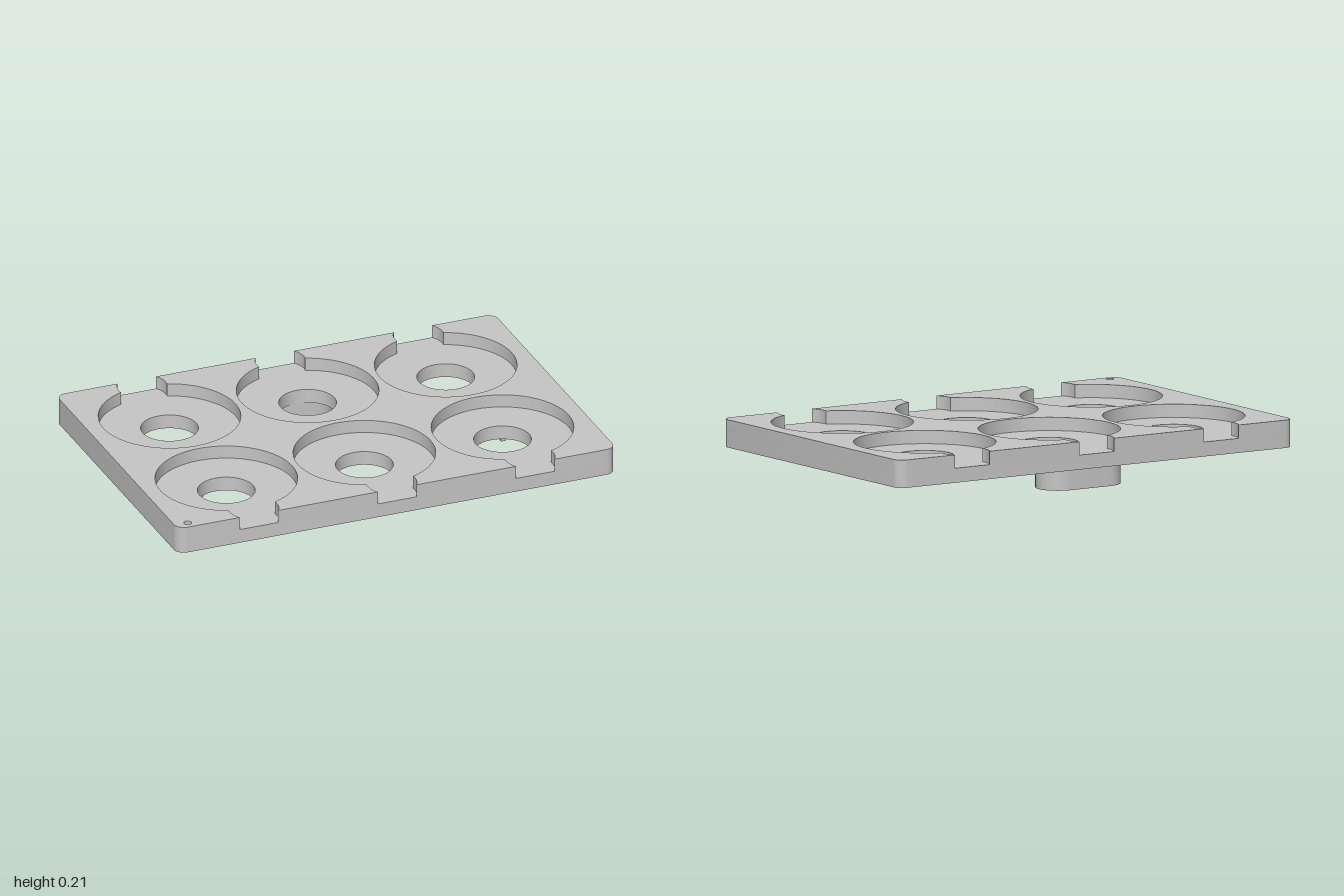
import * as THREE from 'three';
import { toCreasedNormals } from 'three/addons/utils/BufferGeometryUtils.js';

const HX = 1, HZ = 0.678, CORNER = 0.045;
const Y_BOTTOM = 0.093, Y_FLOOR = 0.155, Y_TOP = 0.212;
const WELL_X = [-0.63, 0, 0.63], WELL_Z = 0.315;
const WELL_R = 0.301, HOLE_R = 0.122, NOTCH_R = 0.107;

const grey = new THREE.MeshStandardMaterial({ color: 0xc6c6c6 });
grey.name = 'light grey';

// Points of an arc, from angle a to angle b
function arc(cx, cy, r, a, b, n) {
  const pts = [];
  for (let i = 0; i <= n; i++) {
    const t = a + (b - a) * i / n;
    pts.push(new THREE.Vector2(cx + r * Math.cos(t), cy + r * Math.sin(t)));
  }
  return pts;
}

function circleHole(x, y, r, n = 48) {
  return new THREE.Path(arc(x, y, r, 0, -Math.PI * 2, n).slice(0, -1));
}

// Extrude a plan shape upwards between two heights
function slab(name, shape, y0, y1) {
  const geo = new THREE.ExtrudeGeometry(shape, { depth: y1 - y0, bevelEnabled: false });
  geo.rotateX(-Math.PI / 2).translate(0, y0, 0);
  const mesh = new THREE.Mesh(toCreasedNormals(geo, 0.5), grey);
  mesh.name = name;
  return mesh;
}

// One open well: in through the finger notch, round the well, and out again
function wellCut(cx) {
  const cy = -WELL_Z, ny = cy - WELL_R;
  const half = 2 * Math.asin(NOTCH_R / 2 / WELL_R);
  const jx = WELL_R * Math.sin(half), jy = WELL_R * (1 - Math.cos(half));
  const edge = Math.asin((HZ + ny) / NOTCH_R);
  const join = Math.atan2(jy, jx);
  return [
    ...arc(cx, ny, NOTCH_R, Math.PI + edge, Math.PI - join, 8),
    ...arc(cx, cy, WELL_R, 1.5 * Math.PI - half, -0.5 * Math.PI + half, 56).slice(1),
    ...arc(cx, ny, NOTCH_R, join, -edge, 8).slice(1),
  ];
}

// Half of the outline; the other half is the same turned by 180 degrees
function outline(withWells) {
  const half = [
    ...arc(-HX + CORNER, -HZ + CORNER, CORNER, Math.PI, 1.5 * Math.PI, 8),
    ...(withWells ? WELL_X.flatMap(wellCut) : []),
    ...arc(HX - CORNER, -HZ + CORNER, CORNER, 1.5 * Math.PI, 2 * Math.PI, 8),
  ];
  return new THREE.Shape([...half, ...half.map(p => p.clone().negate())]);
}

export function createModel() {
  const model = new THREE.Group();
  model.name = 'tray';

  // Floor plate with a round hole under every well
  const floor = outline(false);
  for (const x of WELL_X) for (const z of [-WELL_Z, WELL_Z]) floor.holes.push(circleHole(x, z, HOLE_R));
  model.add(slab('floorPlate', floor, Y_BOTTOM, Y_FLOOR));

  // Upper plate with open wells and a small marker hole in one corner
  const upper = outline(true);
  upper.holes.push(circleHole(-0.94, -0.64, 0.017, 12));
  model.add(slab('wellPlate', upper, Y_FLOOR, Y_TOP));

  // Stadium-shaped boss under the back edge
  const BOSS_Z = -0.534, BOSS_R = 0.097;
  const boss = new THREE.Shape([
    ...arc(0.1, -BOSS_Z, BOSS_R, -Math.PI / 2, Math.PI / 2, 20),
    ...arc(-0.1, -BOSS_Z, BOSS_R, Math.PI / 2, 1.5 * Math.PI, 20),
  ]);
  boss.holes.push(circleHole(0, -BOSS_Z, 0.08, 40));
  for (const x of [-0.145, 0.145]) boss.holes.push(circleHole(x, -BOSS_Z, 0.015, 16));
  model.add(slab('mountBoss', boss, 0, Y_BOTTOM));

  // Conical recess in the boss, seen from inside
  const recess = new THREE.LatheGeometry([
    new THREE.Vector2(0, 0.07), new THREE.Vector2(0.02, 0.07), new THREE.Vector2(0.08, 0),
  ], 40);
  recess.index.array.reverse();
  const cone = new THREE.Mesh(toCreasedNormals(recess, 0.5), grey);
  // Keep the faces turned downwards, into the recess
  if (cone.geometry.attributes.normal.getY(0) > 0) {
    recess.index.array.reverse();
    cone.geometry = toCreasedNormals(recess, 0.5);
  }
  cone.position.z = BOSS_Z;
  cone.name = 'bossRecess';
  model.add(cone);

  // Two pairs of ribs with softened lower edges under the plate
  const W = 0.012, H = 0.023, R = 0.005, ribLength = 0.36;
  const profile = new THREE.Shape([
    new THREE.Vector2(-W, 0),
    ...arc(-W + R, -H + R, R, Math.PI, 1.5 * Math.PI, 4),
    ...arc(W - R, -H + R, R, 1.5 * Math.PI, 2 * Math.PI, 4),
    new THREE.Vector2(W, 0),
  ]);
  const ribGeo = toCreasedNormals(
    new THREE.ExtrudeGeometry(profile, { depth: ribLength, bevelEnabled: false }), 0.6);
  for (const x of [-0.69, -0.48, 0.48, 0.69]) {
    const rib = new THREE.Mesh(ribGeo, grey);
    rib.position.set(x, Y_BOTTOM, -ribLength / 2);
    rib.name = 'rib';
    model.add(rib);
  }
  return model;
}
